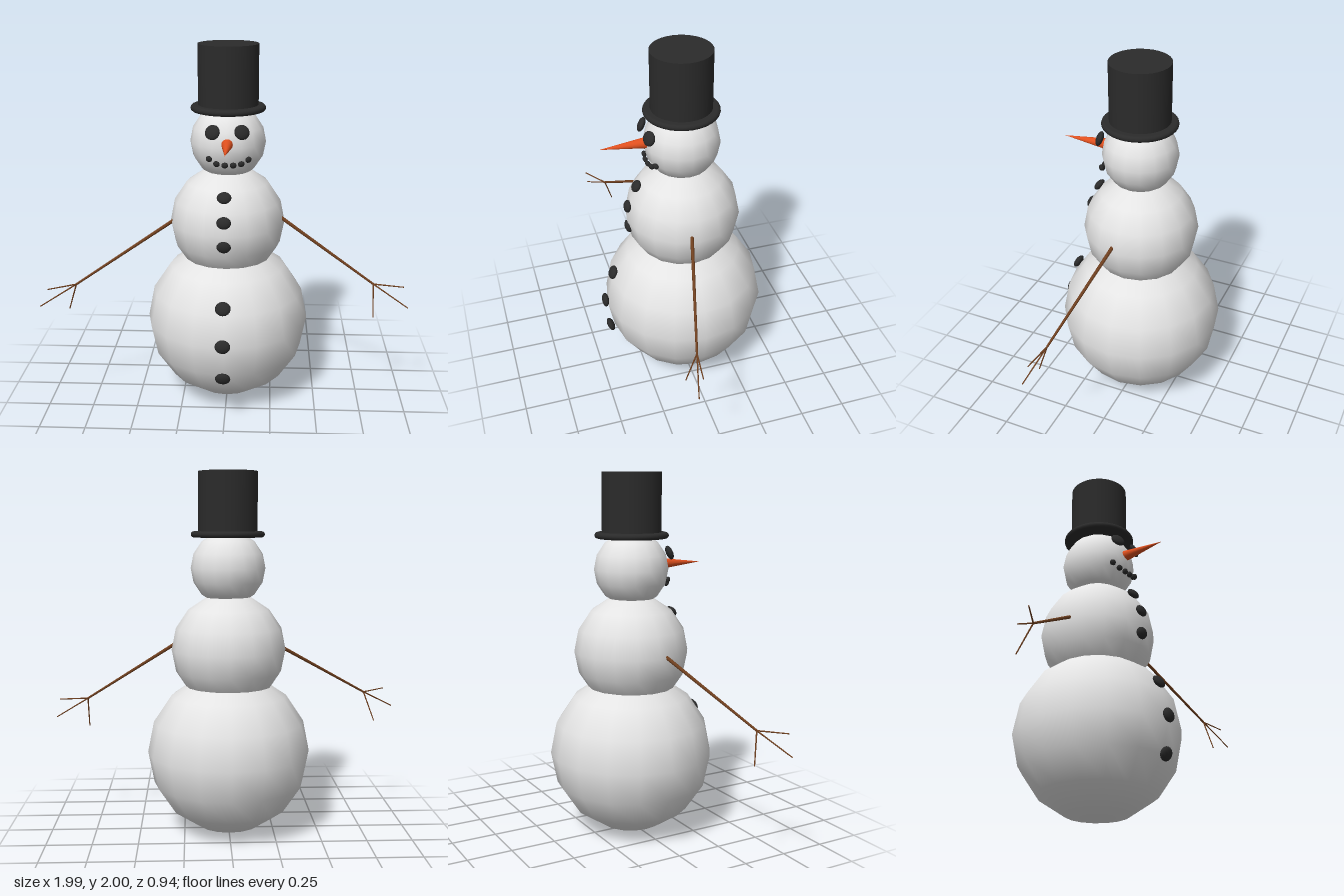
import * as THREE from 'three';

const material = (name, color) => {
  const m = new THREE.MeshStandardMaterial({ color });
  m.name = name;
  return m;
};

export function createModel() {
  const snow = material('snow white', 0xe4e4e4);
  const black = material('coal black', 0x2b2b2b);
  const carrot = material('carrot orange', 0xe2511f);
  const wood = material('wood brown', 0x70401f);

  const model = new THREE.Group();
  model.name = 'snowman';

  const add = (parent, name, geometry, mat, x = 0, y = 0, z = 0) => {
    const mesh = new THREE.Mesh(geometry, mat);
    mesh.name = name;
    mesh.position.set(x, y, z);
    parent.add(mesh);
    return mesh;
  };
  const group = (name) => {
    const g = new THREE.Group();
    g.name = name;
    model.add(g);
    return g;
  };

  // Three stacked snowballs
  const balls = {
    lowerBody: { r: 0.453, c: new THREE.Vector3(0, 0.453, -0.015) },
    upperBody: { r: 0.316, c: new THREE.Vector3(0, 1.03, -0.013) },
    head: { r: 0.205, c: new THREE.Vector3(0.003, 1.48, -0.01) },
  };
  for (const [name, { r, c }] of Object.entries(balls)) {
    add(model, name, new THREE.SphereGeometry(r, 16, 8), snow, c.x, c.y, c.z);
  }

  // Flattened lump of coal, facing away from the ball it sits on
  const coalGeometry = new THREE.SphereGeometry(1, 12, 8);
  const coal = (parent, name, ball, [x, y, z], [sx, sy, sz]) => {
    const lump = add(parent, name, coalGeometry, black, x, y, z);
    lump.scale.set(sx, sy, sz);
    lump.lookAt(2 * x - ball.c.x, 2 * y - ball.c.y, 2 * z - ball.c.z);
  };

  // Buttons down the front
  const buttons = group('buttons');
  [[1.23, 0.242], [1.108, 0.294], [0.974, 0.294]].forEach(([y, z]) =>
    coal(buttons, 'upperButton', balls.upperBody, [-0.007, y, z], [0.039, 0.033, 0.02]));
  [[0.667, 0.395], [0.472, 0.448], [0.273, 0.425]].forEach(([y, z]) =>
    coal(buttons, 'lowerButton', balls.lowerBody, [-0.007, y, z], [0.042, 0.038, 0.02]));

  // Eyes and smile
  const face = group('face');
  coal(face, 'rightEye', balls.head, [-0.07, 1.566, 0.188], [0.042, 0.04, 0.019]);
  coal(face, 'leftEye', balls.head, [0.083, 1.568, 0.188], [0.042, 0.04, 0.019]);
  [[-0.09, 1.42, 0.166], [-0.05, 1.397, 0.182], [-0.006, 1.391, 0.188],
    [0.038, 1.391, 0.186], [0.08, 1.397, 0.178], [0.117, 1.418, 0.165]].forEach((p) =>
    coal(face, 'mouthCoal', balls.head, p, [0.018, 0.017, 0.013]));

  // Carrot nose
  const nose = new THREE.ConeGeometry(0.034, 0.283, 16).rotateX(Math.PI / 2);
  add(face, 'nose', nose, carrot, 0.006, 1.5, 0.293);

  // Top hat: crown and rounded brim
  const hat = group('hat');
  hat.position.set(0.004, 0, -0.008);
  add(hat, 'hatCrown', new THREE.CylinderGeometry(0.162, 0.162, 0.34, 32), black, 0, 1.83, 0);
  const brim = [[0.001, 1.646], [0.185, 1.646]];
  for (let i = 1; i < 6; i++) {
    const a = -Math.PI / 2 + (i * Math.PI) / 6;
    brim.push([0.185 + 0.017 * Math.cos(a), 1.663 + 0.017 * Math.sin(a)]);
  }
  brim.push([0.185, 1.68], [0.001, 1.68]);
  add(hat, 'hatBrim',
    new THREE.LatheGeometry(brim.map(([x, y]) => new THREE.Vector2(x, y)), 32), black);

  // Tapered stick between two points
  const stick = (parent, name, from, to, r0, r1) => {
    const a = new THREE.Vector3(...from);
    const b = new THREE.Vector3(...to);
    const dir = b.clone().sub(a);
    const mesh = add(parent, name, new THREE.CylinderGeometry(r1, r0, dir.length(), 8), wood);
    mesh.position.copy(a).lerp(b, 0.5);
    mesh.quaternion.setFromUnitVectors(new THREE.Vector3(0, 1, 0), dir.normalize());
  };

  // Stick arms, each ending in three twigs
  const arms = {
    rightArm: {
      shoulder: [-0.29, 1.042, 0.03], wrist: [-0.81, 0.735, 0.25],
      tips: [[-0.945, 0.74, 0.345], [-0.995, 0.635, 0.33], [-0.865, 0.572, 0.2]],
    },
    leftArm: {
      shoulder: [0.29, 1.064, 0.022], wrist: [0.803, 0.728, 0.157],
      tips: [[0.967, 0.72, 0.177], [0.99, 0.61, 0.205], [0.803, 0.555, 0.215]],
    },
  };
  for (const [name, { shoulder, wrist, tips }] of Object.entries(arms)) {
    const arm = group(name);
    stick(arm, 'branch', shoulder, wrist, 0.01, 0.006);
    tips.forEach((tip) => stick(arm, 'twig', wrist, tip, 0.004, 0.003));
  }

  return model;
}
